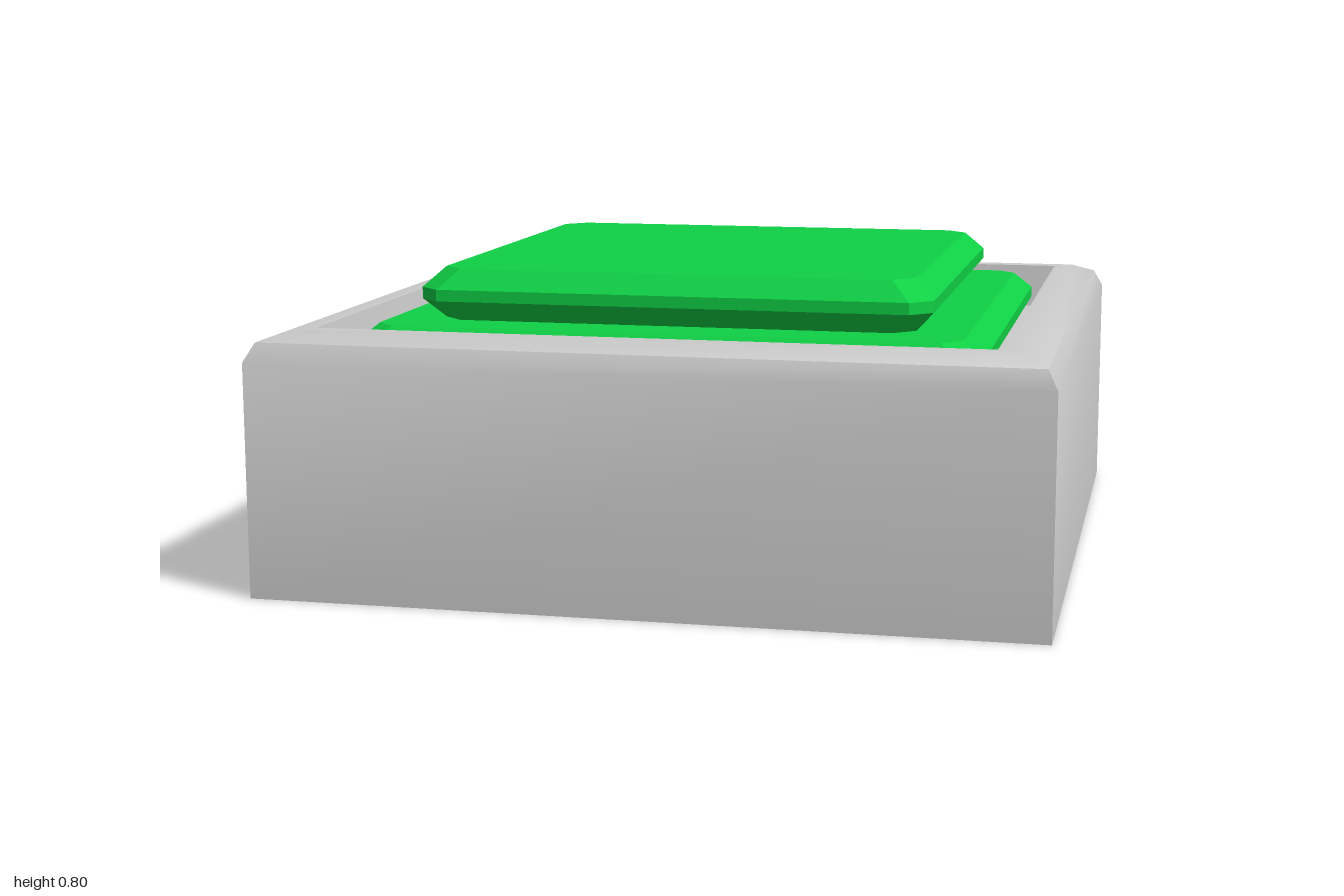
import * as THREE from 'three';
import { toCreasedNormals } from 'three/addons/utils/BufferGeometryUtils.js';

// Square outline of half width h, with corners cut by c (c = 0 keeps them sharp)
function outline(h, c) {
  const corners = [[-1, 1], [1, 1], [1, -1], [-1, -1]];
  if (!c) return corners.map(([x, z]) => [x * h, z * h]);
  const k = h - c;
  return [[-h, k], [-k, h], [k, h], [h, k], [h, -k], [k, -h], [-k, -h], [-h, -k]];
}

// Loft square outlines through a profile of [half width, y], closed at both ends
function squareLoft(profile, cut, creaseAngle) {
  const rings = profile.map(([h, y]) => outline(h, cut).map(([x, z]) => [x, y, z]));
  const n = rings[0].length;
  const positions = [];
  const triangle = (a, b, c) => positions.push(...a, ...b, ...c);
  for (let i = 0; i < rings.length - 1; i++) {
    for (let j = 0; j < n; j++) {
      const k = (j + 1) % n;
      const a = rings[i][j], b = rings[i][k], c = rings[i + 1][k], d = rings[i + 1][j];
      triangle(a, b, c);
      triangle(a, c, d);
    }
  }
  const bottom = rings[0], top = rings[rings.length - 1];
  for (let j = 1; j < n - 1; j++) {
    triangle(bottom[0], bottom[j + 1], bottom[j]);
    triangle(top[0], top[j], top[j + 1]);
  }
  const geometry = new THREE.BufferGeometry();
  geometry.setAttribute('position', new THREE.Float32BufferAttribute(positions, 3));
  return toCreasedNormals(geometry, creaseAngle);
}

export function createModel() {
  const model = new THREE.Group();
  model.name = 'pushButton';
  const grey = new THREE.MeshStandardMaterial({ color: 0xcccccc });
  const green = new THREE.MeshStandardMaterial({ color: 0x10d045 });

  const add = (name, profile, cut, material, crease) => {
    const mesh = new THREE.Mesh(squareLoft(profile, cut, crease), material);
    mesh.name = name;
    model.add(mesh);
  };

  // Housing: rounded rim around a shallow recess
  add('housing', [
    [1, 0], [1, 0.6], [0.975, 0.648], [0.91, 0.672], [0.86, 0.672], [0.84, 0.55],
  ], 0, grey, 0.6);

  // Bevelled plate in the recess
  add('basePlate', [
    [0.75, 0.54], [0.8, 0.59], [0.8, 0.62], [0.75, 0.667],
  ], 0.05, green, 0.3);

  // Raised bevelled key on the plate
  add('buttonCap', [
    [0.615, 0.665], [0.665, 0.72], [0.665, 0.75], [0.615, 0.8],
  ], 0.055, green, 0.3);

  return model;
}
